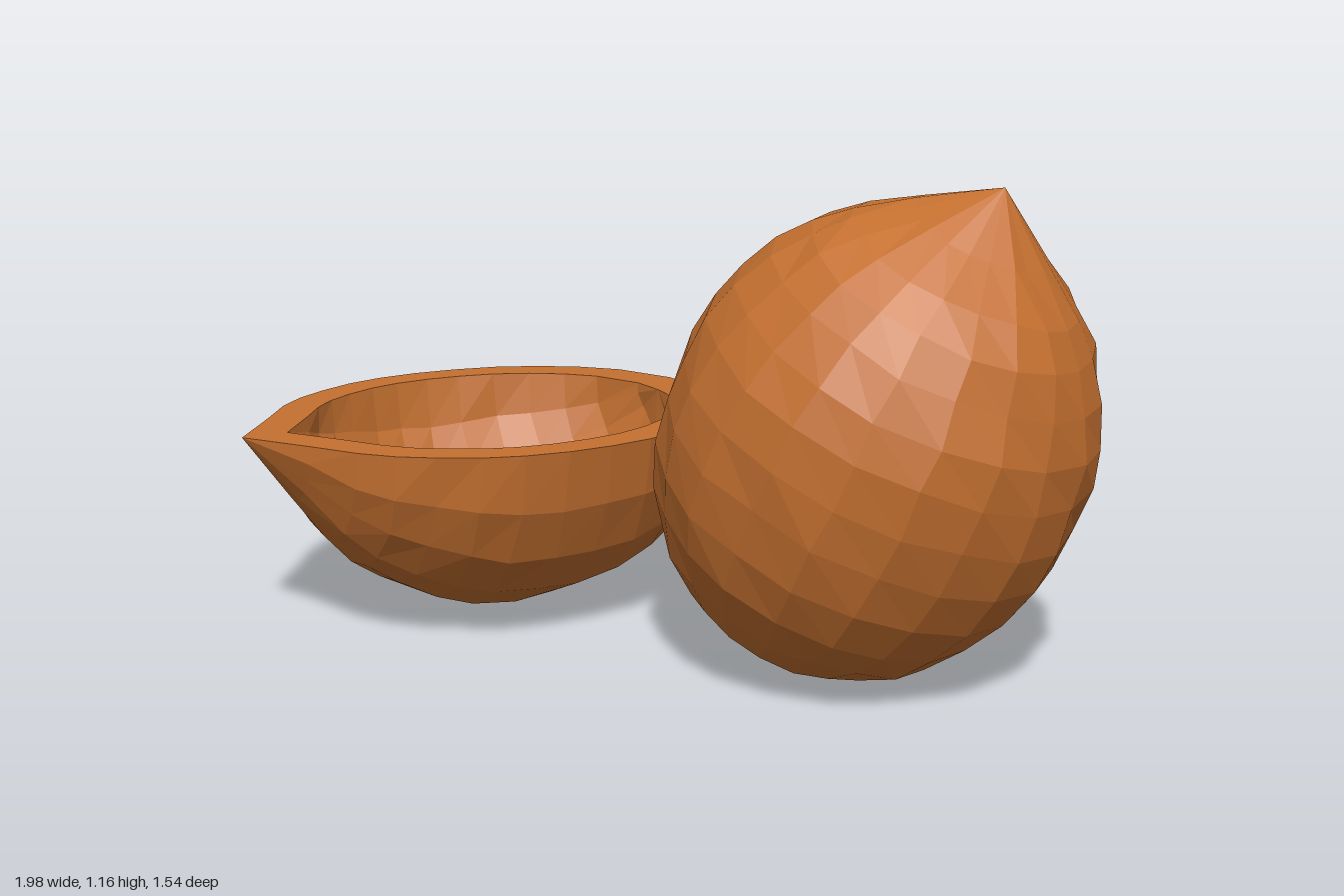
import * as THREE from 'three';

// Nut outline as [radius, distance along the axis], from round base to pointed tip
const OUTLINE = [
  [0, -0.61], [0.12, -0.6], [0.275, -0.525], [0.355, -0.445], [0.42, -0.345],
  [0.465, -0.235], [0.485, -0.12], [0.49, -0.01], [0.478, 0.1], [0.45, 0.195],
  [0.4, 0.29], [0.345, 0.37], [0.275, 0.437], [0.16, 0.515], [0, 0.63],
].map(([r, s]) => new THREE.Vector2(r, s));

// Repeatable noise in -1..1 that depends only on position, so seams stay closed
function noise(x, y, z, k) {
  const n = Math.sin(Math.round(x * 1000) * 12.99 + Math.round(y * 1000) * 7.23 + Math.round(z * 1000) * 3.71 + k) * 4375.85;
  return (n - Math.floor(n)) * 2 - 1;
}

// Facets a turned surface and makes it slightly uneven; the cut plane z = 0 may stay flat
function faceted(geometry, keepCut) {
  const p = geometry.attributes.position;
  for (let i = 0; i < p.count; i++) {
    const x = p.getX(i), y = p.getY(i), z = p.getZ(i);
    if (Math.hypot(x, z) < 0.001 || (keepCut && Math.abs(z) < 0.001)) continue;
    const a = 0.006;
    p.setXYZ(i, x + a * noise(x, y, z, 1), y + a * noise(x, y, z, 2), z + a * noise(x, y, z, 3));
  }
  const flat = geometry.toNonIndexed();
  flat.computeVertexNormals();
  return flat;
}

// Closed outline of the cut, mirrored about the axis
function cutLoop(points) {
  const right = points.map(v => new THREE.Vector2(v.x, -v.y));
  const left = points.slice(1, -1).reverse().map(v => new THREE.Vector2(-v.x, -v.y));
  return right.concat(left);
}

export function createModel() {
  const model = new THREE.Group();
  const shell = new THREE.MeshStandardMaterial({ color: 0xc47030 });
  shell.name = 'nut brown';

  const add = (parent, geometry, name) => {
    const mesh = new THREE.Mesh(geometry, shell);
    mesh.name = name;
    parent.add(mesh);
    return mesh;
  };

  // Whole nut leaning toward its tip
  const nut = add(model, faceted(new THREE.LatheGeometry(OUTLINE, 20), false), 'wholeNut');
  nut.position.set(0.495, 0.585, -0.28);
  nut.quaternion.setFromUnitVectors(new THREE.Vector3(0, 1, 0), new THREE.Vector3(0.41, 0.9, -0.154).normalize());

  // Empty half shell lying open side up
  const half = new THREE.Group();
  half.name = 'halfShell';
  half.position.set(-0.51, 0.5, 0.15);
  half.rotation.y = -0.17;
  model.add(half);

  const hollow = OUTLINE.map(v => v.clone().multiplyScalar(0.82));
  const bowl = points => faceted(new THREE.LatheGeometry(points, 10, -Math.PI / 2, Math.PI), true).rotateX(Math.PI / 2);
  add(half, bowl(OUTLINE), 'shellOutside');
  add(half, bowl(hollow.slice().reverse()), 'shellInside');

  // Flat rim between the outer and inner walls
  const rim = new THREE.Shape(cutLoop(OUTLINE));
  rim.holes.push(new THREE.Path(cutLoop(hollow)));
  add(half, new THREE.ShapeGeometry(rim).rotateX(-Math.PI / 2), 'shellRim');

  return model;
}
